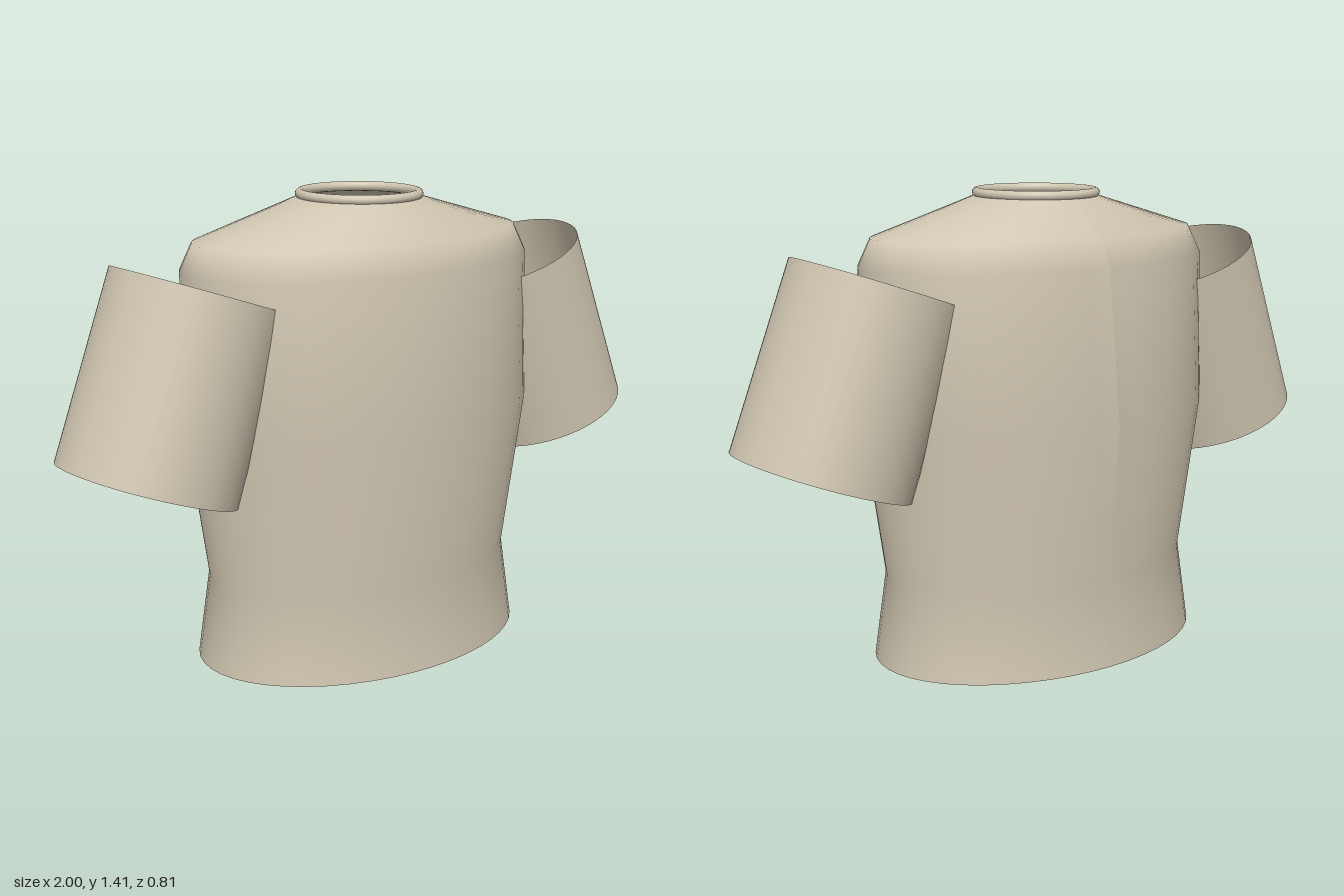
import * as THREE from 'three';

const SEGMENTS = 48;

// Open elliptical shell from rows of [height, half width, half depth]
function ellipticalShell(rows) {
  const profile = rows.map(([y, w]) => new THREE.Vector2(w, y));
  // start the sweep at the back so the seam lies there
  const geometry = new THREE.LatheGeometry(profile, SEGMENTS, Math.PI);
  const pos = geometry.attributes.position;
  for (let i = 0; i < pos.count; i++) {
    const [, w, d] = rows[i % rows.length];
    pos.setZ(i, pos.getZ(i) * d / w);
  }
  geometry.computeVertexNormals();
  return geometry;
}

// Open tube between two centres
function sleeve(top, bottom, topRadius, bottomRadius, material) {
  const axis = top.clone().sub(bottom);
  const geometry = new THREE.CylinderGeometry(topRadius, bottomRadius, axis.length(), SEGMENTS, 1, true);
  const mesh = new THREE.Mesh(geometry, material);
  mesh.position.copy(top).add(bottom).multiplyScalar(0.5);
  mesh.quaternion.setFromUnitVectors(new THREE.Vector3(0, 1, 0), axis.normalize());
  return mesh;
}

export function createModel() {
  const group = new THREE.Group();
  group.name = 'shirt';

  const cloth = new THREE.MeshStandardMaterial({ color: 0xcfc5b0, side: THREE.DoubleSide });
  cloth.name = 'beige cloth';

  // Body: hem, waist, chest, shoulder and neck opening
  const body = new THREE.Mesh(ellipticalShell([
    [0, 0.55, 0.38],
    [0.26, 0.51, 0.353],
    [0.74, 0.577, 0.405],
    [1.2, 0.587, 0.353],
    [1.28, 0.55, 0.313],
    [1.385, 0.185, 0.19],
  ]), cloth);
  body.name = 'body';
  group.add(body);

  // Collar ring
  const collar = new THREE.Mesh(new THREE.TorusGeometry(0.175, 0.015, 12, SEGMENTS), cloth);
  collar.name = 'collar';
  collar.rotation.x = Math.PI / 2;
  collar.scale.y = 1.03;
  collar.position.y = 1.394;
  group.add(collar);

  // Sleeves, mirrored, hanging outward and slightly forward
  for (const side of [1, -1]) {
    const mesh = sleeve(
      new THREE.Vector3(side * 0.557, 1.162, 0),
      new THREE.Vector3(side * 0.749, 0.624, 0.012),
      0.258, 0.267, cloth);
    mesh.name = side > 0 ? 'leftSleeve' : 'rightSleeve';
    group.add(mesh);
  }

  return group;
}
